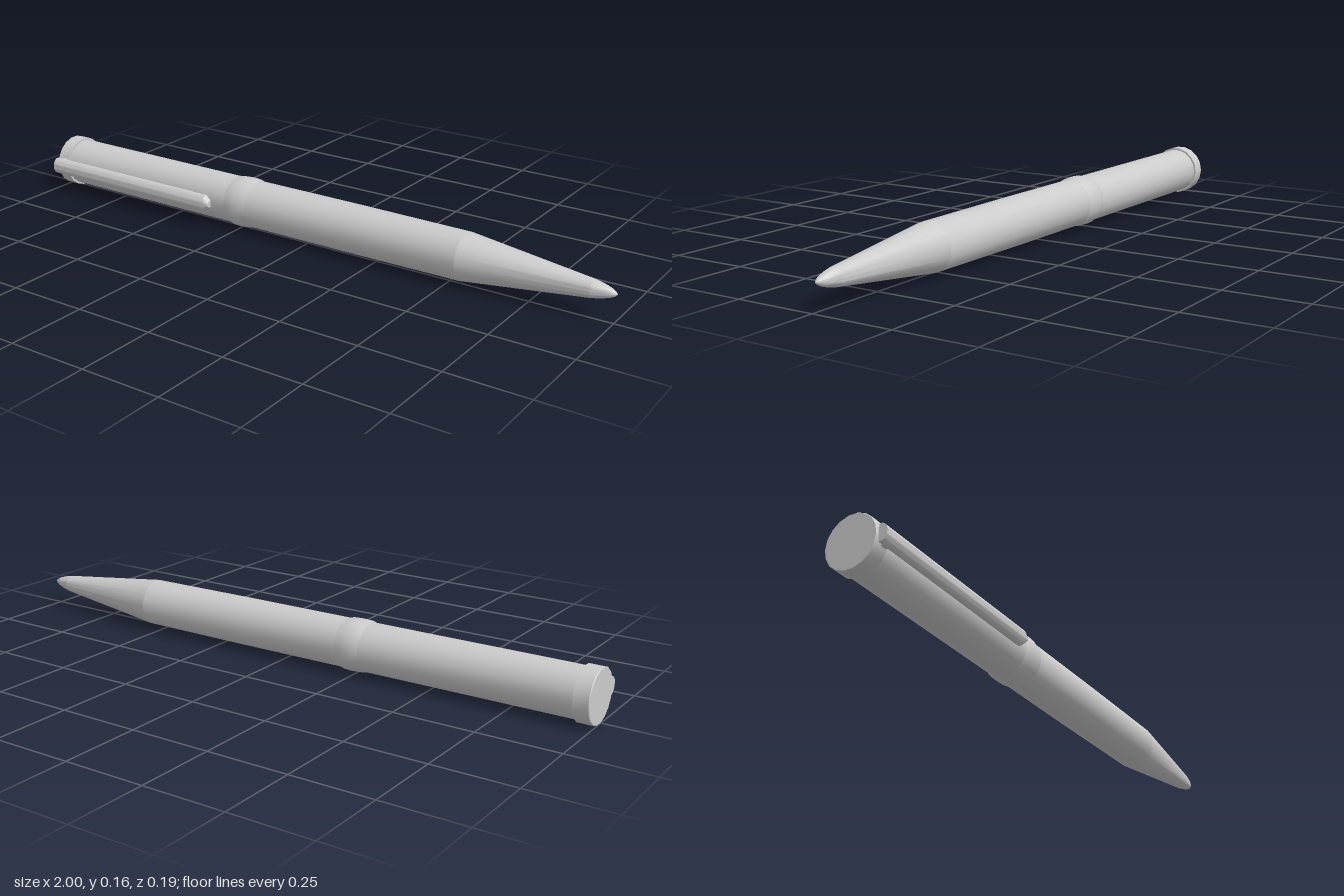
import * as THREE from 'three';
import { toCreasedNormals } from 'three/addons/utils/BufferGeometryUtils.js';

const SIDES = 18;
const AXIS_Y = 0.081;
const AXIS_Z = -0.014;

export function createModel() {
  const group = new THREE.Group();
  const material = new THREE.MeshStandardMaterial({ color: 0xcccccc });

  const add = (name, geometry) => {
    const mesh = new THREE.Mesh(geometry, material);
    mesh.name = name;
    group.add(mesh);
    return mesh;
  };

  // Turned part along x from [x, radius] pairs
  const turned = (name, profile) => {
    const points = profile.map(([x, r]) => new THREE.Vector2(r, x));
    const lathe = new THREE.LatheGeometry(points, SIDES).rotateZ(-Math.PI / 2);
    add(name, toCreasedNormals(lathe, 0.5)).position.set(0, AXIS_Y, AXIS_Z);
  };

  turned('endCap', [[-1, 0], [-1, 0.08], [-0.998, 0.082], [-0.953, 0.082], [-0.953, 0.07]]);
  turned('upperBarrel', [[-0.955, 0.0755], [-0.24, 0.0755]]);
  turned('middleRing', [[-0.285, 0.075], [-0.27, 0.0795], [-0.245, 0.081], [-0.22, 0.0795], [-0.2, 0.075]]);
  turned('lowerBarrel', [[-0.24, 0.0755], [0.15, 0.0755], [0.54, 0.0735]]);
  turned('taper', [[0.54, 0.0735], [0.93, 0.027]]);
  turned('tip', [[0.93, 0.027], [0.96, 0.0205], [0.98, 0.014], [0.993, 0.007], [1, 0]]);

  // Clip: D-shaped bar with a narrowed free end
  const section = new THREE.Shape();
  section.moveTo(-0.07, 0.026);
  section.lineTo(-0.08, 0.026);
  section.bezierCurveTo(-0.1015, 0.017, -0.1015, -0.017, -0.08, -0.026);
  section.lineTo(-0.07, -0.026);
  section.closePath();
  const clip = new THREE.ExtrudeGeometry(section, {
    depth: 0.67, steps: 2, bevelEnabled: false, curveSegments: 10,
  });
  const p = clip.attributes.position;
  for (let i = 0; i < p.count; i++) {
    const z = p.getZ(i);
    if (z > 0.6) {
      p.setXY(i, -0.08 + (p.getX(i) + 0.08) * 0.7, p.getY(i) * 0.4);
    } else if (z > 0.1) {
      p.setZ(i, 0.652);
    }
  }
  clip.rotateY(Math.PI / 2);
  add('clip', toCreasedNormals(clip, 0.5)).position.set(-0.995, 0.083, 0);

  // Bridge joining the clip to the barrel
  add('clipBridge', new THREE.BoxGeometry(0.02, 0.052, 0.03)).position.set(-0.967, 0.083, 0.06);

  return group;
}
